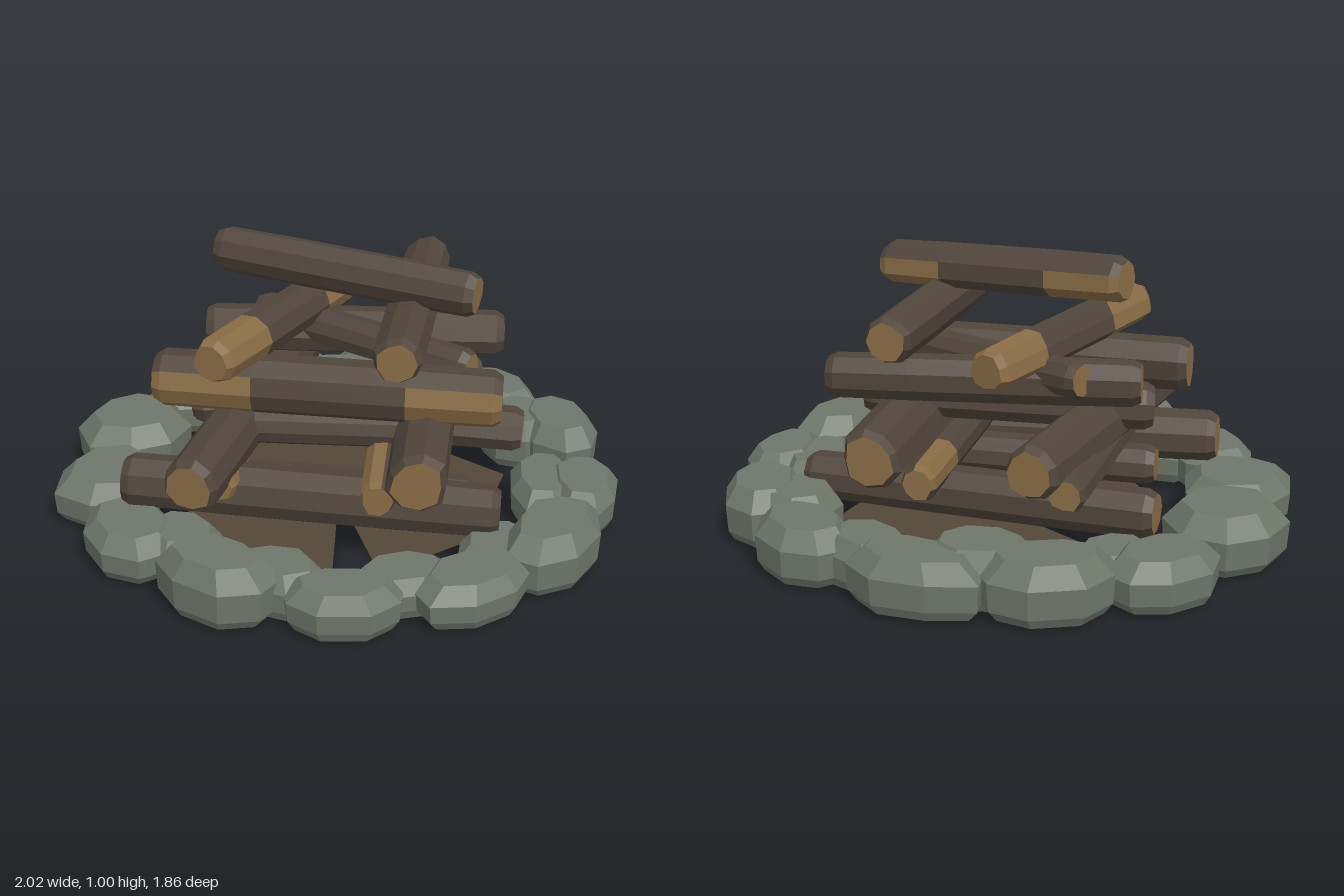
import * as THREE from 'three';

const mat = (name, color, side = THREE.FrontSide) => {
  const m = new THREE.MeshStandardMaterial({ color, side });
  m.name = name;
  return m;
};

// Small seeded generator for irregular outlines
let seed = 7;
const rand = () => (seed = (seed * 16807) % 2147483647) / 2147483647;
const vary = (amount) => 1 + (rand() * 2 - 1) * amount;

// Faceted solid through rings of points; pick(ring, side) gives the material slot of each face
function loft(rings, pick) {
  const slots = [[], []];
  const n = rings[0].length;
  const add = (slot, ...pts) => pts.forEach((p) => slots[slot].push(p.x, p.y, p.z));
  for (let i = 0; i < rings.length - 1; i++) {
    for (let j = 0; j < n; j++) {
      const k = (j + 1) % n;
      const slot = pick(i, j);
      add(slot, rings[i][j], rings[i][k], rings[i + 1][k]);
      add(slot, rings[i][j], rings[i + 1][k], rings[i + 1][j]);
    }
  }
  [rings[0], rings[rings.length - 1]].forEach((ring, end) => {
    const mid = ring.reduce((s, p) => s.add(p), new THREE.Vector3()).divideScalar(n);
    for (let j = 0; j < n; j++) {
      const k = (j + 1) % n;
      add(pick(-1, end), mid, ring[end ? j : k], ring[end ? k : j]);
    }
  });
  const geo = new THREE.BufferGeometry();
  geo.setAttribute('position', new THREE.Float32BufferAttribute([...slots[0], ...slots[1]], 3));
  geo.addGroup(0, slots[0].length / 3, 0);
  geo.addGroup(slots[0].length / 3, slots[1].length / 3, 1);
  geo.computeVertexNormals();
  return geo;
}

// Log between two points, with bare wood caps and optional bare end lengths facing `bare`
function logGeometry(from, to, r, bare) {
  const a = new THREE.Vector3(...from);
  const b = new THREE.Vector3(...to);
  const d = b.clone().sub(a);
  const len = d.length();
  d.normalize();
  const u = d.clone().cross(new THREE.Vector3(0, 1, 0)).normalize();
  const v = u.clone().cross(d);
  const n = 9;
  const uneven = Array.from({ length: n }, () => vary(0.09));
  const out = (j) => {
    const t = (j / n) * Math.PI * 2 + 0.2;
    return v.clone().multiplyScalar(Math.cos(t)).addScaledVector(u, Math.sin(t));
  };
  const bevel = 0.03 / len;
  const stations = [[0, 0.82], [bevel, 1], [0.29, 1.03], [0.73, 1.02], [1 - bevel, 0.98], [1, 0.8]];
  const rings = stations.map(([t, s]) => Array.from({ length: n }, (_, j) =>
    a.clone().lerp(b, t).addScaledVector(out(j), r * s * uneven[j])));
  const dir = Array.isArray(bare) ? new THREE.Vector3(...bare).normalize() : null;
  return loft(rings, (i, j) => {
    if (i < 0) return 1;
    if (!bare || i === 2) return 0;
    return !dir || out(j + 0.5).dot(dir) > 0.3 ? 1 : 0;
  });
}

// Eight-sided boulder with a broad bevelled top, its length running around the ring
function stoneGeometry(x, z, length, width, height) {
  const c = new THREE.Vector3(x, 0, z);
  const v = c.clone().normalize();
  const u = new THREE.Vector3(v.z, 0, -v.x);
  const n = 8;
  const uneven = Array.from({ length: n }, () => vary(0.08));
  const levels = [[0.01, 0.84], [0.045, 0.97], [height * 0.68, 1], [height, 0.7]];
  const rings = levels.map(([y, s]) => Array.from({ length: n }, (_, j) => {
    const t = ((j + 0.5) / n) * Math.PI * 2;
    const k = s * uneven[j] * 1.07;
    const p = c.clone().addScaledVector(v, Math.cos(t) * k * width / 2);
    p.addScaledVector(u, Math.sin(t) * k * length / 2);
    p.y = y;
    return p;
  }));
  return loft(rings, () => 0);
}

export function createModel() {
  seed = 7;
  const stone = mat('stone', 0x6e766a);
  const bark = mat('bark', 0x50453b);
  const wood = mat('bare wood', 0x896c45);
  const char = mat('charred ground', 0x544739, THREE.DoubleSide);
  const model = new THREE.Group();
  model.name = 'campfire';

  // Ring of stones: x, z, length, width, height
  const stones = new THREE.Group();
  stones.name = 'stoneRing';
  [
    [0.1, -0.8, 0.46, 0.25, 0.2], [-0.08, -0.69, 0.36, 0.26, 0.21],
    [-0.32, -0.74, 0.44, 0.27, 0.21], [-0.65, -0.55, 0.38, 0.27, 0.18],
    [-0.48, -0.52, 0.3, 0.23, 0.16], [-0.8, -0.19, 0.4, 0.39, 0.21],
    [-0.8, 0.18, 0.4, 0.38, 0.18], [-0.65, 0.51, 0.4, 0.3, 0.17],
    [-0.47, 0.53, 0.3, 0.24, 0.16], [-0.31, 0.76, 0.42, 0.25, 0.22],
    [-0.12, 0.71, 0.34, 0.23, 0.17], [0.11, 0.81, 0.39, 0.22, 0.17],
    [0.28, 0.67, 0.34, 0.22, 0.15], [0.52, 0.66, 0.42, 0.27, 0.16],
    [0.59, 0.45, 0.3, 0.25, 0.15], [0.77, 0.4, 0.42, 0.27, 0.21],
    [0.74, 0.02, 0.39, 0.24, 0.17], [0.88, 0.04, 0.37, 0.25, 0.18],
    [0.65, -0.4, 0.29, 0.27, 0.2], [0.79, -0.37, 0.39, 0.26, 0.21],
    [0.53, -0.64, 0.38, 0.27, 0.2], [0.3, -0.67, 0.36, 0.24, 0.18],
  ].forEach((s) => {
    const mesh = new THREE.Mesh(stoneGeometry(...s), stone);
    mesh.name = 'stone';
    stones.add(mesh);
  });
  model.add(stones);

  // Stacked logs, lowest first: name, start, end, radius, bare ends
  const logs = new THREE.Group();
  logs.name = 'logStack';
  [
    ['bottomFrontLog', [-0.7, 0.23, 0.36], [0.59, 0.18, 0.35], 0.095],
    ['bottomInnerLog', [-0.5, 0.16, 0.2], [0.5, 0.15, 0.2], 0.075],
    ['bottomBackLog', [-0.59, 0.2, -0.33], [0.66, 0.19, -0.24], 0.085],
    ['lowRightLog', [0.32, 0.39, 0.57], [0.32, 0.39, -0.59], 0.105],
    ['lowMiddleLog', [0.19, 0.29, 0.51], [0.17, 0.31, -0.55], 0.067, [-0.8, 0.6, 0]],
    ['lowLeftLog', [-0.42, 0.36, 0.62], [-0.21, 0.39, -0.57], 0.095],
    ['lowLeftInnerLog', [-0.36, 0.29, 0.48], [-0.32, 0.31, -0.52], 0.067, [1, -0.3, 0]],
    ['hiddenCrossLog', [-0.36, 0.37, 0.17], [0.415, 0.39, 0.17], 0.065],
    ['middleFrontLog', [-0.61, 0.55, 0.2], [0.58, 0.54, 0.22], 0.1, [0, -0.25, 1]],
    ['middleCentreLog', [-0.5, 0.42, 0.1], [0.5, 0.47, -0.1], 0.083],
    ['middleBackLog', [-0.5, 0.59, -0.16], [0.57, 0.57, -0.27], 0.08],
    ['middleDiagonalLog', [-0.32, 0.62, -0.28], [0.47, 0.6, 0.11], 0.063],
    ['upperLeftLog', [-0.375, 0.715, 0.42], [-0.04, 0.68, -0.45], 0.075, true],
    ['upperRightLog', [0.24, 0.77, 0.46], [0.28, 0.775, -0.51], 0.08],
    ['topLog', [-0.43, 0.925, -0.1], [0.48, 0.88, 0.13], 0.08, [0, -0.8, -1]],
  ].forEach(([name, ...args]) => {
    const mesh = new THREE.Mesh(logGeometry(...args), [bark, wood]);
    mesh.name = name;
    logs.add(mesh);
  });
  model.add(logs);

  // Jagged charred patches on the ground
  [
    [[0, 0], [0.38, -0.38], [0.05, -0.62], [-0.36, -0.5], [-0.49, -0.3]],
    [[0, 0], [0.38, -0.38], [0.6, -0.24], [0.55, 0], [0.59, 0.01], [0.5, 0.24], [0.2, 0.5]],
    [[0, 0], [0.05, 0.66], [-0.2, 0.53], [-0.32, 0.5], [-0.53, 0.2], [-0.5, -0.1]],
  ].forEach((pts) => {
    const shape = new THREE.Shape(pts.map(([x, z]) => new THREE.Vector2(x, -z)));
    const mesh = new THREE.Mesh(new THREE.ShapeGeometry(shape).rotateX(-Math.PI / 2), char);
    mesh.name = 'charredPatch';
    model.add(mesh);
  });
  return model;
}
